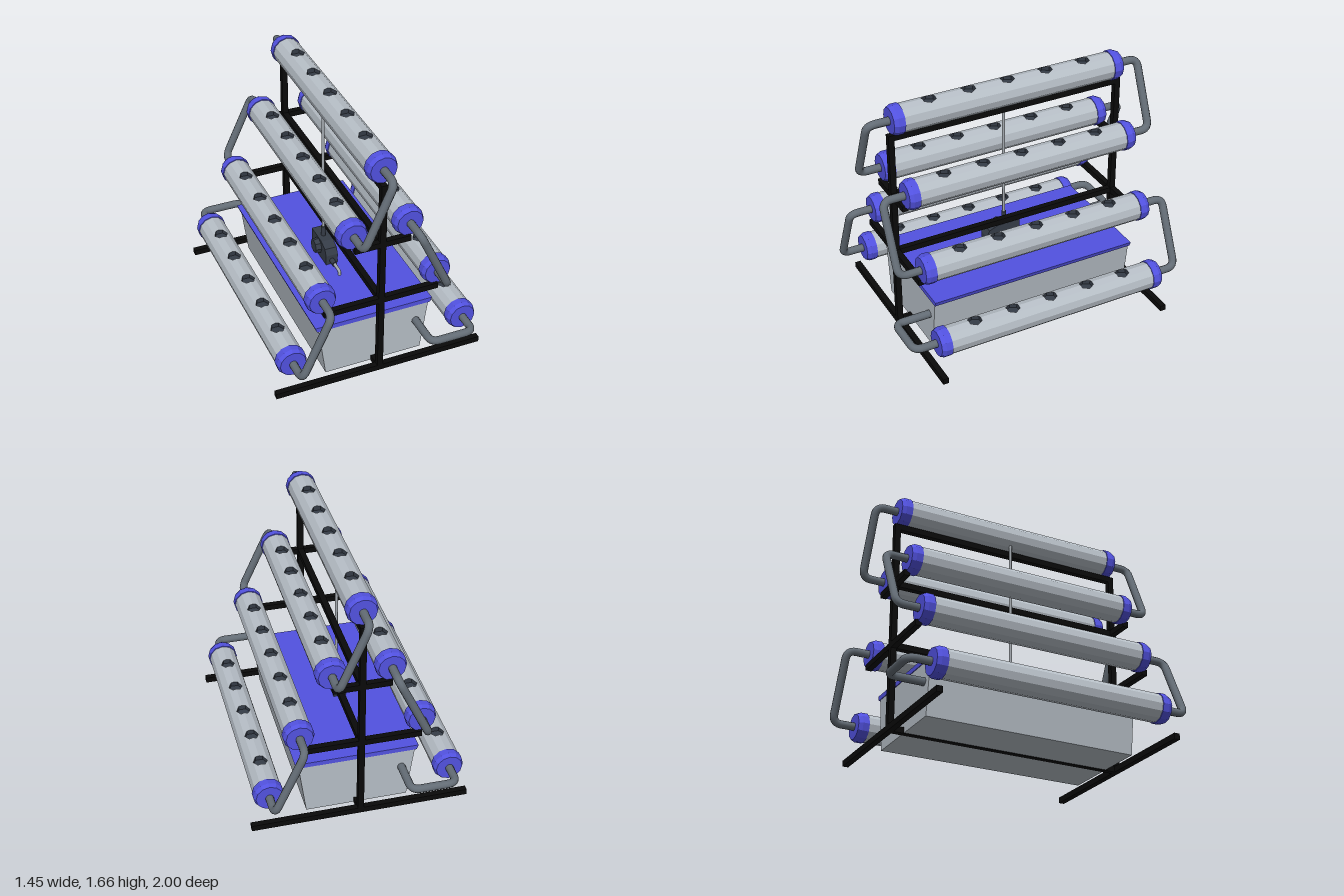
import * as THREE from 'three';

const mat = (name, color, side = THREE.FrontSide) => {
  const m = new THREE.MeshStandardMaterial({ color, side });
  m.name = name;
  return m;
};

export function createModel() {
  const root = new THREE.Group();
  root.name = 'hydroponicTower';
  const grey = mat('light grey plastic', 0xb6bec6);
  const blue = mat('blue plastic', 0x5252e0);
  const black = mat('black frame', 0x0a0a0a);
  const pipeGrey = mat('pipe grey', 0x646d76);
  const dark = mat('dark slate', 0x353c47, THREE.DoubleSide);
  const hose = mat('hose grey', 0xa4aab0);

  const add = (parent, name, geo, material, x = 0, y = 0, z = 0) => {
    const m = new THREE.Mesh(geo, material);
    m.name = name;
    m.position.set(x, y, z);
    parent.add(m);
    return m;
  };
  const flat = (geo) => {
    const g = geo.index ? geo.toNonIndexed() : geo;
    g.computeVertexNormals();
    return g;
  };
  const box = (name, w, h, d, x, y, z, material = black) =>
    add(root, name, new THREE.BoxGeometry(w, h, d), material, x, y, z);

  // Pipe along straight runs with rounded corners
  const pipe = (name, pts, r, bend, material) => {
    const v = pts.map((p) => new THREE.Vector3(...p));
    const path = new THREE.CurvePath();
    let from = v[0];
    for (let i = 1; i < v.length - 1; i++) {
      const a = v[i].clone().add(v[i - 1].clone().sub(v[i]).setLength(bend));
      const b = v[i].clone().add(v[i + 1].clone().sub(v[i]).setLength(bend));
      path.add(new THREE.LineCurve3(from, a));
      path.add(new THREE.QuadraticBezierCurve3(a, v[i], b));
      from = b;
    }
    path.add(new THREE.LineCurve3(from, v[v.length - 1]));
    add(root, name, new THREE.TubeGeometry(path, 48, r, 10), material);
  };

  // Growing tubes: twelve sides, the two top facets notched for planting holes
  const R = 0.095, HALF = 0.8, TILT = Math.PI / 12;
  const holes = [-0.55, -0.275, 0, 0.275, 0.55];
  const HX = 0.047, HM = 0.024, HZ = 0.042;

  const shell = flat(new THREE.CylinderGeometry(R, R, 2 * HALF, 10, 1, true, Math.PI * 7 / 6, Math.PI * 5 / 3)
    .rotateX(Math.PI / 2));

  const k = 1 / Math.cos(TILT);
  const facetShape = new THREE.Shape();
  facetShape.moveTo(0, -HALF);
  facetShape.lineTo(2 * R * Math.sin(TILT), -HALF);
  facetShape.lineTo(2 * R * Math.sin(TILT), HALF);
  facetShape.lineTo(0, HALF);
  for (const z of [...holes].reverse()) {
    facetShape.lineTo(0, z + HZ);
    facetShape.lineTo(HM * k, z + HZ);
    facetShape.lineTo(HX * k, z);
    facetShape.lineTo(HM * k, z - HZ);
    facetShape.lineTo(0, z - HZ);
  }
  const facet = new THREE.ShapeGeometry(facetShape).rotateX(-Math.PI / 2).rotateZ(-TILT).translate(0, R, 0);
  const facetMirror = facet.clone().rotateY(Math.PI);

  // Dark planting cup whose rim follows the ridge of the tube
  const rim = [[HX, 0], [HM, HZ], [0, HZ], [-HM, HZ], [-HX, 0], [-HM, -HZ], [0, -HZ], [HM, -HZ]];
  const floorY = R - 0.035;
  const cupPos = [];
  rim.forEach(([x, z], i) => {
    const [x2, z2] = rim[(i + 1) % rim.length];
    const t1 = [x, R - Math.abs(x) * Math.tan(TILT), z], t2 = [x2, R - Math.abs(x2) * Math.tan(TILT), z2];
    const b1 = [x, floorY, z], b2 = [x2, floorY, z2];
    cupPos.push(...t1, ...t2, ...b1, ...t2, ...b2, ...b1);
    cupPos.push(0, floorY, 0, ...b1, ...b2);
  });
  const cup = new THREE.BufferGeometry();
  cup.setAttribute('position', new THREE.Float32BufferAttribute(cupPos, 3));
  cup.computeVertexNormals();

  // End cap with a chamfered outer edge
  const capProfile = [[0.09, 0.75], [0.101, 0.75], [0.101, 0.795], [0.088, 0.822], [0, 0.822]];
  const cap = flat(new THREE.LatheGeometry(capProfile.map(([x, y]) => new THREE.Vector2(x, y)), 12)
    .rotateX(Math.PI / 2));
  const capBack = cap.clone().rotateY(Math.PI);

  const rows = [[-0.6, 0.24], [-0.397, 0.68], [-0.19, 1.12], [0, 1.56], [0.19, 1.12], [0.397, 0.68], [0.6, 0.24]];
  for (const [x, y] of rows) {
    const tube = new THREE.Group();
    tube.name = 'growingTube';
    tube.position.set(x, y, 0);
    root.add(tube);
    add(tube, 'tubeShell', shell, grey);
    add(tube, 'tubeTopLeft', facet, grey);
    add(tube, 'tubeTopRight', facetMirror, grey);
    for (const z of holes) add(tube, 'plantingCup', cup, dark, 0, 0, z);
    add(tube, 'frontCap', cap, blue);
    add(tube, 'backCap', capBack, blue);
  }

  // Connecting pipes alternate between front and back
  const OUT = 0.973, PR = 0.027;
  for (let i = 0; i < rows.length - 1; i++) {
    const s = i % 2 ? -1 : 1, a = rows[i], b = rows[i + 1];
    pipe('connectingPipe', [[...a, s * 0.8], [...a, s * OUT], [...b, s * OUT], [...b, s * 0.8]], PR, 0.06, pipeGrey);
  }
  // Pipes between the lowest tubes and the tank
  for (const s of [-1, 1]) {
    pipe('tankPipe', [[s * 0.6, 0.24, s * 0.8], [s * 0.6, 0.24, s * OUT],
      [s * 0.3, 0.24, s * OUT], [s * 0.3, 0.24, s * 0.7]], PR, 0.06, pipeGrey);
  }

  // Frame
  for (const z of [-0.82, 0.82]) {
    box('basebar', 1.45, 0.04, 0.04, 0, 0.02, z);
    box('post', 0.04, 1.46, 0.04, 0, 0.73, z);
    box('upperCrossbar', 0.38, 0.04, 0.04, 0, 1.02, z);
    box('lowerCrossbar', 0.79, 0.04, 0.04, 0, 0.582, z);
  }
  for (const y of [0.02, 0.582, 1.02, 1.44]) box('lengthwiseBar', 0.04, 0.04, 1.64, 0, y, 0);

  // Tank and lid, tapered in section
  const prism = (name, pts, length, material) => {
    const g = new THREE.ExtrudeGeometry(new THREE.Shape(pts.map(([x, y]) => new THREE.Vector2(x, y))),
      { depth: length, bevelEnabled: false });
    return add(root, name, g.translate(0, 0, -length / 2), material);
  };
  prism('tank', [[-0.34, 0.003], [0.34, 0.003], [0.388, 0.368], [-0.388, 0.368]], 1.46, grey);
  prism('lid', [[-0.4, 0.367], [0.4, 0.367], [0.412, 0.4], [-0.412, 0.4]], 1.47, blue);

  // Pump on the lid
  const PX = -0.05;
  const side = [[0.1, 0.4], [0.1, 0.54], [-0.07, 0.54], [-0.13, 0.515], [-0.15, 0.47], [-0.15, 0.4]];
  const body = prism('pumpBody', side, 0.085, dark);
  body.rotation.y = Math.PI / 2;
  body.position.x = PX;
  const knob = flat(new THREE.CylinderGeometry(0.048, 0.055, 0.04, 8).rotateZ(Math.PI / 2));
  add(root, 'pumpKnob', knob, dark, -0.11, 0.48, 0.02);
  add(root, 'pumpInlet', new THREE.CylinderGeometry(0.018, 0.018, 0.06, 10).rotateX(Math.PI / 2), dark, PX, 0.428, 0.17);
  add(root, 'pumpOutlet', new THREE.CylinderGeometry(0.016, 0.016, 0.08, 10), dark, PX, 0.575, 0);
  pipe('inletHose', [[PX, 0.428, 0.18], [PX, 0.428, 0.28], [PX, 0.39, 0.28]], 0.011, 0.02, hose);
  add(root, 'riserHose', new THREE.CylinderGeometry(0.01, 0.01, 0.93, 10), hose, PX, 1.055, 0);

  return root;
}
